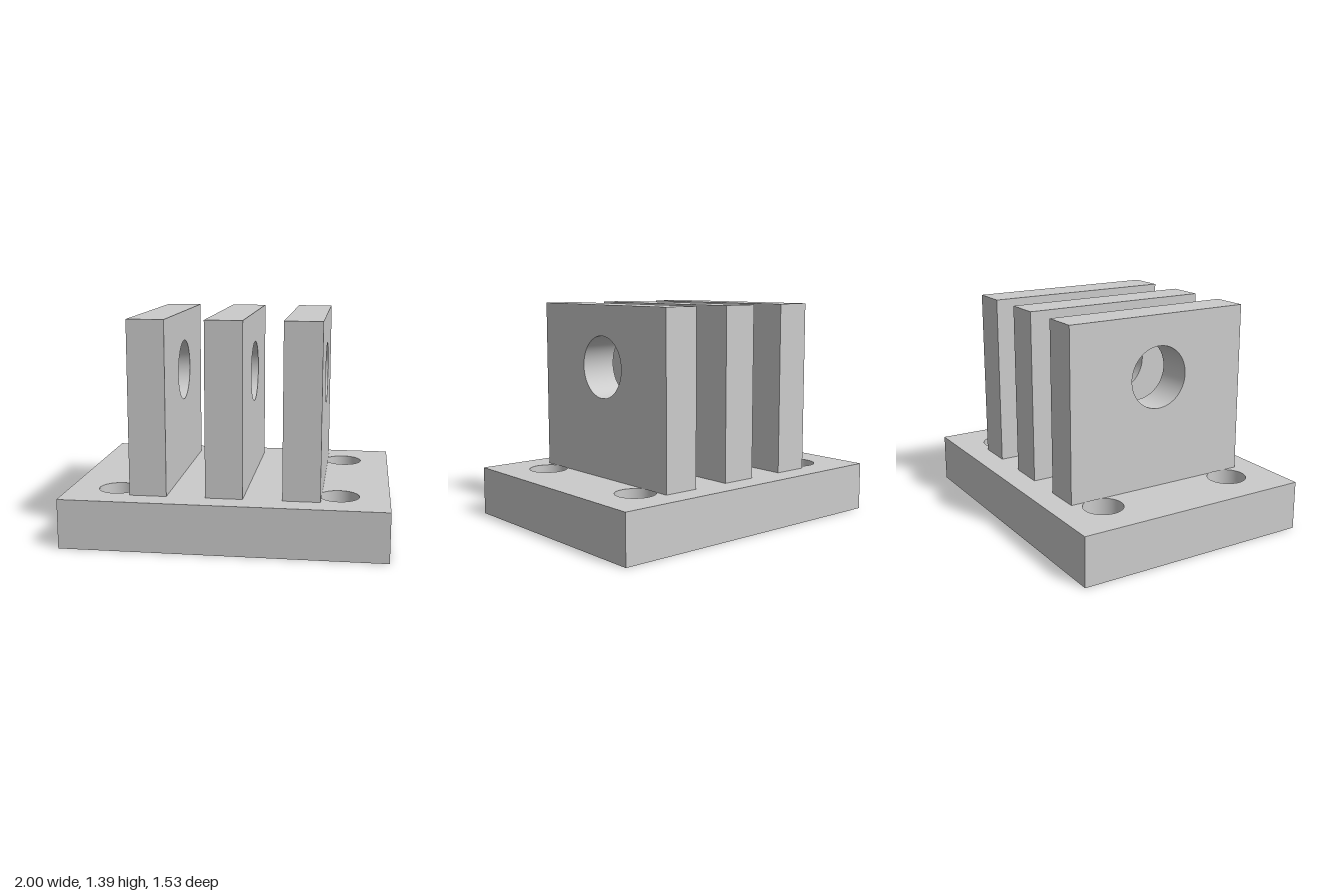
import * as THREE from 'three';
import { toCreasedNormals } from 'three/addons/utils/BufferGeometryUtils.js';

const BASE = { width: 2, depth: 1.535, height: 0.31 };
const FIN = { depth: 1.23, height: 1.08, thickness: 0.23, spacing: 0.47 };

// Rectangular plate with round through-holes, extruded along +z
function drilledPlate(w, h, thickness, holes) {
  const shape = new THREE.Shape([
    new THREE.Vector2(-w / 2, -h / 2),
    new THREE.Vector2(w / 2, -h / 2),
    new THREE.Vector2(w / 2, h / 2),
    new THREE.Vector2(-w / 2, h / 2),
  ]);
  for (const [x, y, r] of holes) {
    shape.holes.push(new THREE.Path().absarc(x, y, r, 0, Math.PI * 2, true));
  }
  const geometry = new THREE.ExtrudeGeometry(shape, {
    depth: thickness, bevelEnabled: false, curveSegments: 32,
  });
  return toCreasedNormals(geometry, Math.PI / 6);
}

export function createModel() {
  const model = new THREE.Group();
  model.name = 'clevisBracket';
  const material = new THREE.MeshStandardMaterial({ color: 0xcccccc });

  // Base plate with four bolt holes
  const boltHoles = [];
  for (const sx of [-1, 1]) for (const sz of [-1, 1]) boltHoles.push([sx * 0.692, sz * 0.461, 0.123]);
  const baseGeometry = drilledPlate(BASE.width, BASE.depth, BASE.height, boltHoles);
  baseGeometry.rotateX(-Math.PI / 2);
  const base = new THREE.Mesh(baseGeometry, material);
  base.name = 'basePlate';
  model.add(base);

  // Three upright lugs sharing one pin bore
  const lugGeometry = drilledPlate(FIN.depth, FIN.height, FIN.thickness, [[0, 0.155, 0.194]]);
  lugGeometry.translate(0, 0, -FIN.thickness / 2).rotateY(Math.PI / 2);
  ['rightLug', 'middleLug', 'leftLug'].forEach((name, i) => {
    const lug = new THREE.Mesh(lugGeometry, material);
    lug.name = name;
    lug.position.set((i - 1) * FIN.spacing, BASE.height + FIN.height / 2, 0);
    model.add(lug);
  });

  return model;
}
